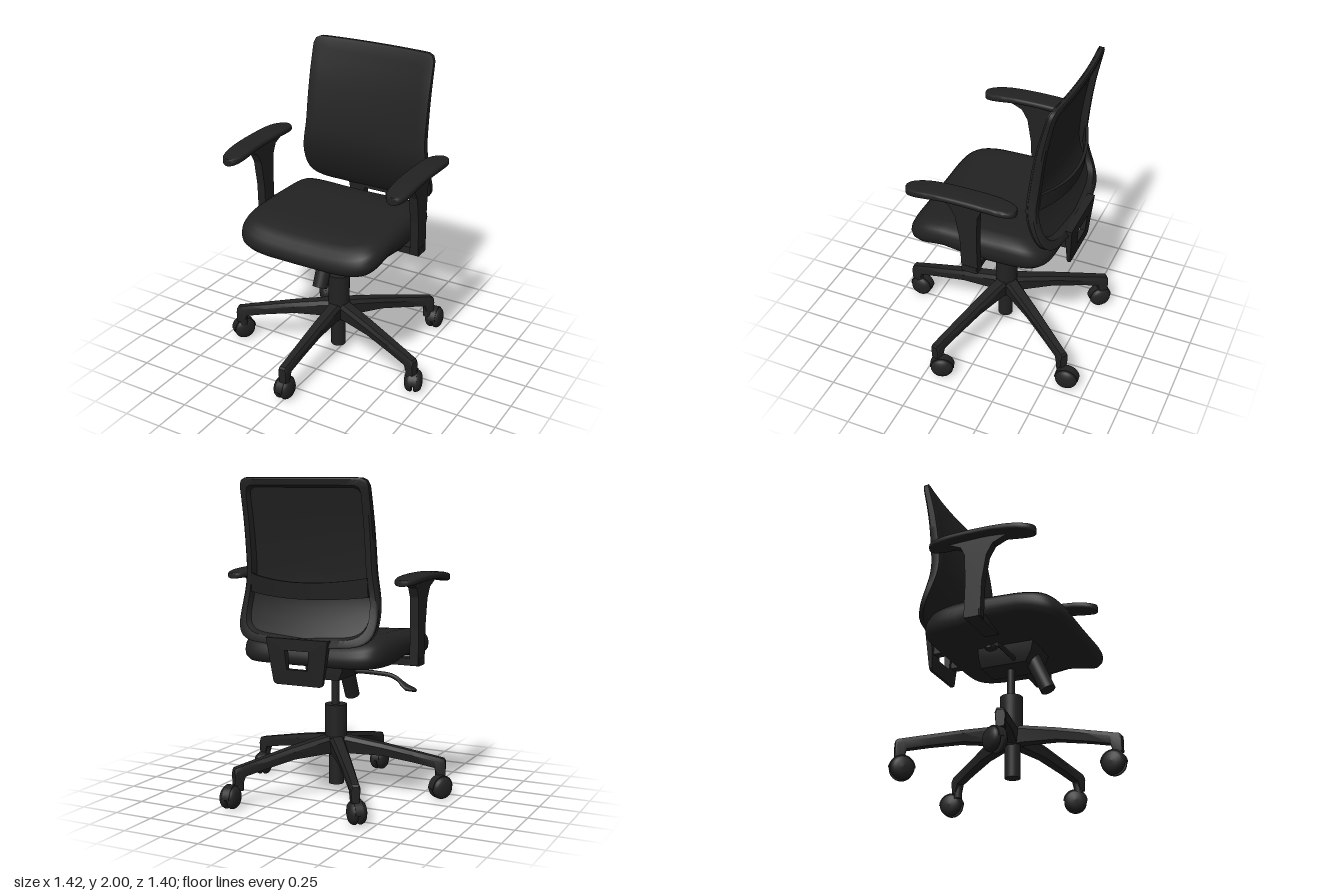
import * as THREE from 'three';
import { toCreasedNormals } from 'three/addons/utils/BufferGeometryUtils.js';

const black = new THREE.MeshStandardMaterial({ color: 0x222222 });
black.name = 'charcoal black';
const V = (x, y, z) => new THREE.Vector3(x, y, z);
const power = (v, e) => Math.sign(v) * Math.abs(v) ** e;

function add(parent, name, geo, x = 0, y = 0, z = 0) {
  const m = new THREE.Mesh(geo, black);
  m.name = name;
  m.position.set(x, y, z);
  parent.add(m);
  return m;
}

// Smoothed lookup through [key, value] pairs with rising keys
function profile(pairs) {
  return (k) => {
    if (k <= pairs[0][0]) return pairs[0][1];
    for (let i = 1; i < pairs.length; i++) {
      const [a, p] = pairs[i - 1], [b, q] = pairs[i];
      if (k <= b) {
        const slope = (j) => {
          const l = pairs[Math.max(j - 1, 0)], r = pairs[Math.min(j + 1, pairs.length - 1)];
          return (r[1] - l[1]) / (r[0] - l[0]);
        };
        const t = (k - a) / (b - a), h = b - a, u = 1 - t;
        return p * (1 + 2 * t) * u * u + q * t * t * (3 - 2 * t) + h * t * u * (u * slope(i - 1) - t * slope(i));
      }
    }
    return pairs[pairs.length - 1][1];
  };
}

// Skin over closed rings of points; ends are capped unless the rings loop
function loft(rings, crease = 0.6, looped = false) {
  const n = rings[0].length, pts = rings.flat(), idx = [];
  const bands = looped ? rings.length : rings.length - 1;
  for (let r = 0; r < bands; r++) for (let i = 0; i < n; i++) {
    const a = r * n + i, b = r * n + (i + 1) % n;
    const s = (r + 1) % rings.length, c = s * n + i, d = s * n + (i + 1) % n;
    idx.push(a, b, d, a, d, c);
  }
  if (!looped) [0, rings.length - 1].forEach((r, end) => {
    const mid = rings[r].reduce((s, p) => s.add(p), V(0, 0, 0)).divideScalar(n);
    const m = pts.push(mid) - 1;
    for (let i = 0; i < n; i++) {
      const a = r * n + i, b = r * n + (i + 1) % n;
      if (end) idx.push(m, a, b); else idx.push(m, b, a);
    }
  });
  // Turn the faces outwards
  let volume = 0;
  const cross = V(0, 0, 0);
  for (let i = 0; i < idx.length; i += 3)
    volume += pts[idx[i]].dot(cross.crossVectors(pts[idx[i + 1]], pts[idx[i + 2]]));
  if (volume < 0) idx.reverse();
  const g = new THREE.BufferGeometry().setFromPoints(pts);
  g.setIndex(idx);
  return toCreasedNormals(g, crease);
}

// Plate drawn in the side plane (z, y), centred on x
function sidePlate(points, width) {
  const s = new THREE.Shape(points.map(([z, y]) => new THREE.Vector2(z, y)));
  const g = new THREE.ExtrudeGeometry(s, { depth: width, bevelEnabled: false });
  return g.translate(0, 0, -width / 2).rotateY(-Math.PI / 2);
}

function buildSeat(group) {
  const top = profile([[-0.47, 1.02], [-0.3, 1.07], [0, 1.075], [0.3, 1.055], [0.4, 1.03], [0.47, 0.99]]);
  const bottom = profile([[-0.47, 0.88], [0.1, 0.88], [0.22, 0.875], [0.38, 0.845], [0.47, 0.85]]);
  const layers = [[0.15, 0], [0.35, 0], [0.6, 0], [0.85, 0], [0.95, 0.06], [0.99, 0.22], [1, 0.42], [0.99, 0.62],
    [0.96, 0.8], [0.9, 0.94], [0.8, 1], [0.6, 1], [0.4, 1], [0.2, 1], [0.05, 1]];
  const rings = layers.map(([s, t]) => Array.from({ length: 80 }, (_, i) => {
    const a = (i / 80) * Math.PI * 2;
    const z = 0.467 * s * power(Math.sin(a), 1 / 3);
    const x = 0.485 * s * power(Math.cos(a), 1 / 3) * (1 + 0.05 * Math.min(z, 0.2));
    const u = x / 0.485;
    const low = bottom(z) + (z > 0 ? 0.04 * u ** 4 : 0), high = top(z) - 0.022 * (1 - u * u);
    return V(x, low + (high - low) * t, z);
  }));
  add(group, 'seat cushion', loft(rings, 1.2), 0.007);
}

function buildBack(group) {
  const depth = profile([[1, -0.472], [1.095, -0.412], [1.265, -0.342], [1.4, -0.329], [1.715, -0.371], [2, -0.441]]);
  const surface = (x, y, back) => V(x, y, depth(y) - 0.03 * (1 - (x / 0.45) ** 2) - back);
  const o = new THREE.Shape();
  o.moveTo(0, 2).lineTo(0.37, 2);
  o.quadraticCurveTo(0.425, 2, 0.425, 1.94).lineTo(0.428, 1.5);
  o.bezierCurveTo(0.43, 1.36, 0.46, 1.3, 0.46, 1.17);
  o.bezierCurveTo(0.46, 1.07, 0.42, 1.03, 0.3, 1.02).lineTo(0, 1.0);
  const half = o.getSpacedPoints(56);
  const outline = half.concat(half.slice(1, -1).reverse().map((p) => new THREE.Vector2(-p.x, p.y)));
  // Rim is deepest around the lumbar height
  const thick = profile([[1, 0.75], [1.4, 1.25], [1.7, 1.1], [2, 0.8]]);
  const ring = (sx, sy, back) => outline.map((p) => {
    const y = 1.5 + (p.y - 1.5) * sy;
    return surface(p.x * sx, y, back * thick(y));
  });

  // Upholstered panel, front and back faces
  const steps = [0.1, 0.25, 0.4, 0.55, 0.7, 0.85, 0.96];
  add(group, 'back panel', loft([
    ...steps.map((s) => ring(s, s, 0.016)), ring(1, 1, 0.014), ring(1, 1, 0.005),
    ...steps.slice().reverse().map((s) => ring(s, s, 0))], 0.9), 0.006);

  // Rim behind the panel
  add(group, 'back frame', loft([
    ring(0.995, 0.996, 0.01), ring(0.995, 0.996, 0.042), ring(0.97, 0.975, 0.052),
    ring(0.89, 0.91, 0.052), ring(0.86, 0.88, 0.012)], 0.7, true), 0.006);

  // Curved lumbar band
  const band = Array.from({ length: 25 }, (_, i) => {
    const x = -0.39 + (0.78 * i) / 24, c = 1 - (x / 0.39) ** 2, z = -0.39 - 0.09 * c;
    const hi = 1.425 - 0.035 * c, lo = 1.31 - 0.02 * c;
    return [V(x, hi, z), V(x, hi, z - 0.02), V(x, lo, z - 0.008), V(x, lo, z + 0.012)];
  });
  add(group, 'lumbar support', loft(band), 0.006);

  // Bracket with a slot, joining back and seat
  const b = new THREE.Shape();
  b.moveTo(-0.205, 1.06).lineTo(-0.165, 0.8).quadraticCurveTo(-0.16, 0.78, -0.135, 0.78);
  b.lineTo(0.135, 0.78).quadraticCurveTo(0.16, 0.78, 0.165, 0.8).lineTo(0.205, 1.06);
  const slot = new THREE.Path();
  slot.moveTo(-0.07, 0.875).lineTo(0.07, 0.875).lineTo(0.08, 0.99).lineTo(-0.08, 0.99).closePath();
  b.holes.push(slot);
  const g = new THREE.ExtrudeGeometry(b, { depth: 0.04, bevelEnabled: false });
  const pos = g.attributes.position;
  for (let i = 0; i < pos.count; i++) {
    const front = pos.getZ(i) > 0.02, y = pos.getY(i);
    const taper = Math.max(0, (0.95 - y) / 0.17);
    pos.setZ(i, front ? -0.495 - 0.01 * taper : -0.542 + 0.02 * taper);
  }
  g.computeVertexNormals();
  add(group, 'back bracket', g, 0.012);
  // Short tabs that carry the bracket on the seat
  for (const s of [1, -1]) add(group, 'bracket tab', new THREE.BoxGeometry(0.06, 0.05, 0.1), 0.012 + 0.125 * s, 0.915, -0.455);
}

function buildArm(group, side) {
  const arm = new THREE.Group();
  arm.name = side > 0 ? 'left armrest' : 'right armrest';
  arm.position.x = 0.006;
  const topY = profile([[-0.34, 1.41], [-0.2, 1.428], [0, 1.433], [0.2, 1.425], [0.36, 1.4]]);
  const lowY = profile([[-0.34, 1.375], [-0.1, 1.388], [0.1, 1.388], [0.36, 1.352]]);
  // Pad: rounded sections along a gentle arch
  const sections = Array.from({ length: 33 }, (_, k) => {
    const u = 0.997 * Math.sin((k / 32 - 0.5) * Math.PI);
    const z = 0.015 + 0.346 * u, w = 0.073 * (1 - Math.abs(u) ** 6) ** 0.4;
    const mid = (topY(z) + lowY(z)) / 2, h = (topY(z) - lowY(z)) / 2;
    return Array.from({ length: 24 }, (_, i) => {
      const a = (i / 24) * Math.PI * 2;
      return V(0.567 * side + w * power(Math.cos(a), 0.45), mid + h * power(Math.sin(a), 0.45), z);
    });
  });
  add(arm, 'arm pad', loft(sections, 0.9));
  add(arm, 'arm post', sidePlate([[-0.09, 0.875], [0.015, 0.875], [0.022, 1.1], [0.05, 1.27], [0.09, 1.34],
    [0.19, 1.385], [0.19, 1.4], [-0.2, 1.4], [-0.2, 1.385], [-0.12, 1.35], [-0.092, 1.29], [-0.085, 1.1]], 0.056), 0.553 * side);
  add(arm, 'arm bracket', new THREE.BoxGeometry(0.29, 0.045, 0.09), 0.438 * side, 0.895, -0.037);
  group.add(arm);
}

function buildCaster(group, x, z, yaw) {
  const caster = new THREE.Group();
  caster.name = 'caster';
  caster.position.set(x, 0.072, z);
  caster.rotation.y = yaw;
  const rim = [[0, 0], [0.068, 0], [0.072, 0.008], [0.071, 0.02], [0.064, 0.033], [0.052, 0.043], [0.03, 0.05], [0, 0.053]];
  const wheel = new THREE.LatheGeometry(rim.map(([r, h]) => new THREE.Vector2(r, h)), 28);
  for (const s of [1, -1])
    add(caster, 'caster wheel', wheel, 0.006 * s).rotation.z = -s * Math.PI / 2;
  // Hood between the wheels, covering the upper half
  const hood = new THREE.CylinderGeometry(0.077, 0.077, 0.05, 20, 1, false, 0, Math.PI);
  add(caster, 'caster hood', hood).rotation.z = Math.PI / 2;
  group.add(caster);
}

function buildBase(group) {
  const base = new THREE.Group();
  base.name = 'base';
  const cx = 0.007, cz = -0.033;
  // Radius, lower edge, upper edge, half width along one leg
  const sections = [[0, 0.26, 0.385, 0.05], [0.08, 0.27, 0.378, 0.046], [0.3, 0.26, 0.336, 0.04],
    [0.5, 0.222, 0.292, 0.035], [0.63, 0.192, 0.263, 0.031], [0.65, 0.14, 0.258, 0.031], [0.69, 0.14, 0.249, 0.031], [0.7, 0.14, 0.235, 0.027]];
  const leg = loft(sections.map(([r, lo, hi, w]) => [
    V(-w * 0.8, lo, r), V(w * 0.8, lo, r), V(w, hi - 0.025, r), V(w * 0.65, hi, r), V(-w * 0.65, hi, r), V(-w, hi - 0.025, r)]));
  const spots = [[-0.01, 0.615, 0], [0.648, 0.145, 0.35], [0.427, -0.625, 0.1], [-0.39, -0.555, 0.7], [-0.64, 0.145, -0.55]];
  spots.forEach(([x, z, yaw], i) => {
    const a = (i * Math.PI * 2) / 5;
    add(base, 'base leg', leg, cx, 0, cz).rotation.y = a;
    add(base, 'caster stem', new THREE.CylinderGeometry(0.026, 0.026, 0.12, 16),
      cx + 0.66 * Math.sin(a), 0.165, cz + 0.66 * Math.cos(a));
    buildCaster(base, x, z, yaw);
  });
  add(base, 'hub', new THREE.CylinderGeometry(0.07, 0.07, 0.24, 32), cx, 0.46, cz + 0.003);
  add(base, 'hub skirt', new THREE.CylinderGeometry(0.075, 0.055, 0.11, 32), cx, 0.315, cz);
  add(base, 'lower post', new THREE.CylinderGeometry(0.048, 0.048, 0.25, 28), cx, 0.187, -0.022);
  add(base, 'gas lift', new THREE.CylinderGeometry(0.025, 0.025, 0.28, 24), cx, 0.68, cz);
  group.add(base);
}

function buildMechanism(group) {
  const slab = (y, w, z0, z1) => [V(-w, y, z0), V(w, y, z0), V(w, y, z1), V(-w, y, z1)];
  add(group, 'tilt mechanism', loft([slab(0.762, 0.1, -0.195, 0.105), slab(0.82, 0.125, -0.2, 0.15), slab(0.89, 0.135, -0.2, 0.17)]), 0.007);
  // Slanted tension knob
  add(group, 'tension knob', new THREE.CylinderGeometry(0.05, 0.047, 0.26, 24), 0.007, 0.712, 0.158).rotation.x = -0.43;
  // Height lever with a rounded paddle
  const path = new THREE.CatmullRomCurve3([V(-0.08, 0.79, 0.03), V(-0.25, 0.788, 0.03), V(-0.35, 0.778, 0.035), V(-0.4, 0.75, 0.04), V(-0.43, 0.72, 0.04)]);
  add(group, 'height lever', new THREE.TubeGeometry(path, 24, 0.014, 10));
  const stations = [[-0.51, 0.697, 0.015, 0.008], [-0.49, 0.702, 0.034, 0.013], [-0.45, 0.71, 0.04, 0.019], [-0.415, 0.735, 0.028, 0.018], [-0.385, 0.762, 0.014, 0.012]];
  add(group, 'lever paddle', loft(stations.map(([x, y, w, h]) => Array.from({ length: 16 }, (_, i) => {
    const a = (i / 16) * Math.PI * 2;
    return V(x, y + h * Math.sin(a), 0.04 + w * Math.cos(a));
  })), 0.9));
}

export function createModel() {
  const chair = new THREE.Group();
  chair.name = 'office chair';
  buildSeat(chair);
  buildBack(chair);
  for (const side of [1, -1]) buildArm(chair, side);
  buildMechanism(chair);
  buildBase(chair);
  return chair;
}
